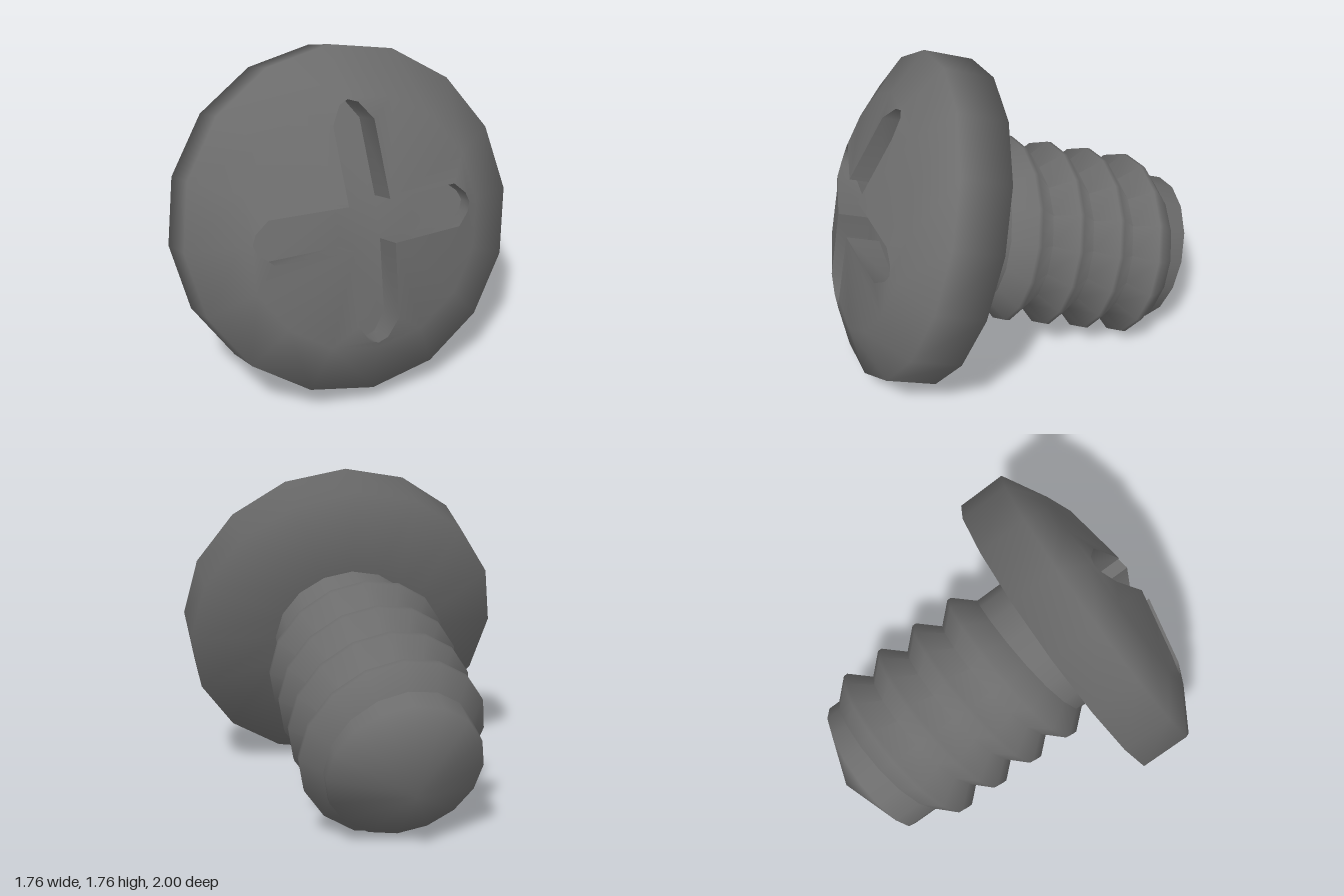
import * as THREE from 'three';
import { mergeGeometries, mergeVertices, toCreasedNormals } from 'three/addons/utils/BufferGeometryUtils.js';

const SIDES = 16;
const HEAD_R = 0.8825, RING_R = 0.64, SHANK_R = 0.41;
// dome profile: radius, height along the screw axis
const DOME = [[0, 0.555], [0.113, 0.54], [0.5, 0.468], [0.59, 0.435], [RING_R, 0.41]];

const material = new THREE.MeshStandardMaterial({ color: 0x6c6c6c });

function domeHeight(r) {
  const i = Math.max(1, DOME.findIndex(p => r <= p[0] + 1e-6));
  const [r0, h0] = DOME[i - 1], [r1, h1] = DOME[i];
  return h0 + (h1 - h0) * (r - r0) / (r1 - r0);
}

// the recess floor deepens toward the ends of the upright arms
const floorHeight = p => 0.35 - 0.17 * Math.max(0, Math.abs(p.y) - 0.11);

function fromArrays(positions, index) {
  const g = new THREE.BufferGeometry();
  g.setAttribute('position', new THREE.Float32BufferAttribute(positions, 3));
  g.setIndex(index);
  return g;
}

// turned part about +z, profile listed from back to front
function turned(profile) {
  const g = new THREE.LatheGeometry(profile.map(p => new THREE.Vector2(...p)), SIDES).rotateX(Math.PI / 2);
  g.deleteAttribute('normal');
  g.deleteAttribute('uv');
  return g;
}

// welds shared points so the surface shades smoothly
function smooth(...parts) {
  const g = mergeVertices(mergeGeometries(parts), 1e-3);
  g.computeVertexNormals();
  return g;
}

function named(name, geometry) {
  const mesh = new THREE.Mesh(geometry, material);
  mesh.name = name;
  return mesh;
}

// counter-clockwise outline of the cross recess, six points per arm
function crossOutline() {
  const pts = [];
  for (let k = 0; k < 4; k++) {
    const tip = k % 2 ? 0.613 : 0.587;
    const arm = [[0.11, -0.11], [0.5, -0.11], [tip - 0.02, -0.05], [tip, 0], [tip - 0.02, 0.05], [0.5, 0.11]];
    for (const p of arm) {
      pts.push(new THREE.Vector2(...p).rotateAround(new THREE.Vector2(), k * Math.PI / 2));
    }
  }
  return pts;
}

// domed face around the recess: each quarter fans from the outline to a ring
function domeFace(outline) {
  const ring = [];
  for (let i = 0; i < SIDES; i++) {
    const a = i / SIDES * Math.PI * 2;
    ring.push(new THREE.Vector2(RING_R * Math.cos(a), RING_R * Math.sin(a)));
  }
  const positions = [...outline, ...ring].flatMap(p => [p.x, p.y, domeHeight(p.length())]);
  const index = [];
  for (let k = 0; k < 4; k++) {
    const o = i => (k * 6 + 3 + i) % 24;
    const r = i => 24 + (k * 4 + i) % SIDES;
    index.push(
      o(0), r(0), r(1), o(0), r(1), o(1), o(1), r(1), o(2), o(2), r(1), o(3),
      o(3), r(1), r(2), o(3), r(2), r(3),
      o(3), r(3), o(4), o(4), r(3), o(5), o(5), r(3), o(6), o(6), r(3), r(4));
  }
  return fromArrays(positions, index);
}

// inward-facing walls and the floor of the recess
function recessGeometry(outline) {
  const positions = [], index = [];
  outline.forEach((p, i) => {
    const q = outline[(i + 1) % 24], n = i * 4;
    positions.push(
      p.x, p.y, floorHeight(p), q.x, q.y, floorHeight(q),
      p.x, p.y, domeHeight(p.length()), q.x, q.y, domeHeight(q.length()));
    index.push(n + 1, n, n + 2, n + 1, n + 2, n + 3);
  });
  const floorPoint = i => (i % 24) * 4;
  for (let k = 0; k < 4; k++) {
    for (let j = 1; j < 6; j++) index.push(floorPoint(k * 6), floorPoint(k * 6 + j), floorPoint(k * 6 + j + 1));
  }
  index.push(floorPoint(0), floorPoint(6), floorPoint(12), floorPoint(0), floorPoint(12), floorPoint(18));
  return toCreasedNormals(fromArrays(positions, index), 0.9);
}

// ridge with a narrow crest swept along a helix, with flat end caps
function threadGeometry() {
  const pitch = 0.244, steps = 62;
  const start = -157.5 / 180 * Math.PI;
  const profile = [[SHANK_R, pitch / 2], [0.51, 0.012], [0.51, -0.012], [SHANK_R, -pitch / 2]];
  const positions = [], index = [];
  for (let i = 0; i <= steps; i++) {
    const a = start + i / SIDES * Math.PI * 2;
    const s = -0.316 - pitch * a / (Math.PI * 2);
    for (const [r, ds] of profile) positions.push(r * Math.sin(a), r * Math.cos(a), s + ds);
  }
  for (let i = 0; i < steps; i++) {
    for (let j = 0; j < 3; j++) {
      const a = i * 4 + j, b = a + 4;
      index.push(a, b, a + 1, b, b + 1, a + 1);
    }
  }
  const e = steps * 4;
  index.push(0, 1, 2, 0, 2, 3, e, e + 2, e + 1, e, e + 3, e + 2);
  return toCreasedNormals(fromArrays(positions, index), 1.5);
}

export function createModel() {
  const outline = crossOutline();

  // underside, rim and dome share one smooth surface
  const head = new THREE.Group();
  head.name = 'head';
  head.add(
    named('headShell', smooth(
      domeFace(outline),
      turned([[SHANK_R - 0.02, -0.047], [HEAD_R, 0], [HEAD_R, 0.275], [RING_R, 0.41]]))),
    named('crossRecess', recessGeometry(outline)));

  // shank with a blunt tip
  const shank = named('shank', smooth(turned([[0, -1.48], [SHANK_R, -1.287], [SHANK_R, 0]])));
  const thread = named('thread', threadGeometry());

  // the screw leans back, resting on its rim and thread
  const screw = new THREE.Group();
  screw.name = 'screw';
  screw.add(head, shank, thread);
  screw.rotation.x = -0.347;
  screw.position.set(0, 0.84, 0.39);

  const model = new THREE.Group();
  model.name = 'machineScrew';
  model.add(screw);
  return model;
}
